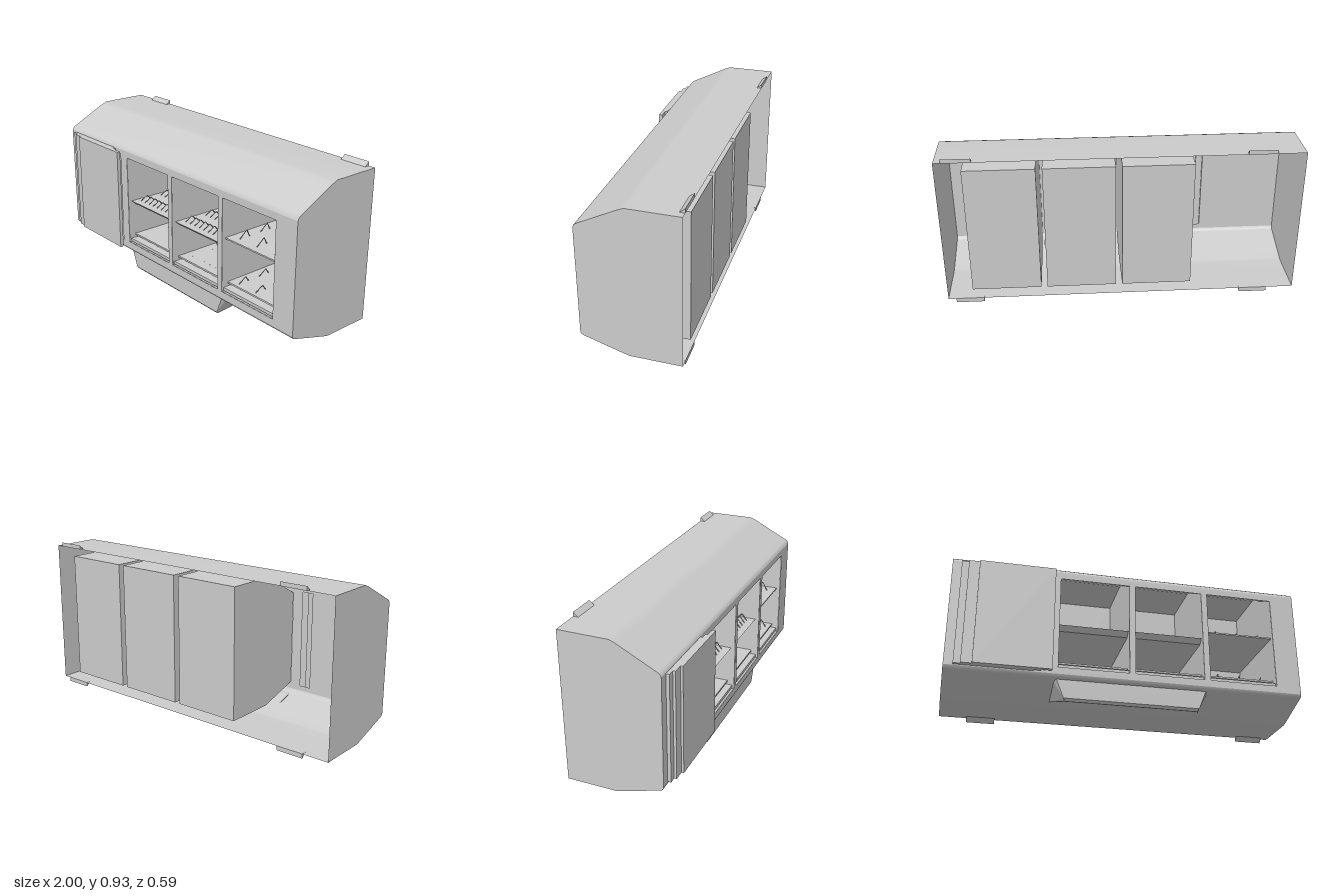
import * as THREE from 'three';
import { ConvexGeometry } from 'three/addons/geometries/ConvexGeometry.js';

const solid = new THREE.MeshStandardMaterial({ color: 0xcccccc });
const thin = new THREE.MeshStandardMaterial({ color: 0xcccccc, side: THREE.DoubleSide });

function add(parent, name, geometry, material = solid) {
  const mesh = new THREE.Mesh(geometry, material);
  mesh.name = name;
  parent.add(mesh);
  return mesh;
}

function block(parent, name, [x0, x1], [y0, y1], [z0, z1]) {
  const mesh = add(parent, name, new THREE.BoxGeometry(x1 - x0, y1 - y0, z1 - z0));
  mesh.position.set((x0 + x1) / 2, (y0 + y1) / 2, (z0 + z1) / 2);
  return mesh;
}

// Side profile of [z, y] points as a shape facing +x
const sideShape = (pts) => new THREE.Shape(pts.map(([z, y]) => new THREE.Vector2(-z, y)));
const sideCap = (pts, x) => new THREE.ShapeGeometry(sideShape(pts)).rotateY(Math.PI / 2).translate(x, 0, 0);
const prism = (pts, x0, x1) =>
  new THREE.ExtrudeGeometry(sideShape(pts), { depth: x1 - x0, bevelEnabled: false })
    .rotateY(Math.PI / 2).translate(x0, 0, 0);

// Sheet swept along x through a [z, y] profile running from back to front
function sheet(pts, x0, x1, smooth) {
  const pos = [], index = [];
  pts.forEach(([z, y], i) => {
    pos.push(x0, y, z, x1, y, z);
    if (i) {
      const a = 2 * i - 2;
      index.push(a, a + 2, a + 1, a + 1, a + 2, a + 3);
    }
  });
  let g = new THREE.BufferGeometry();
  g.setAttribute('position', new THREE.Float32BufferAttribute(pos, 3));
  g.setIndex(index);
  if (!smooth) g = g.toNonIndexed();
  g.computeVertexNormals();
  return g;
}

// Thin rod between two points
function rod(parent, a, b) {
  const dir = b.clone().sub(a);
  const mesh = add(parent, 'dividerRod', new THREE.CylinderGeometry(0.003, 0.003, dir.length(), 4));
  mesh.position.copy(a).add(b).multiplyScalar(0.5);
  mesh.quaternion.setFromUnitVectors(new THREE.Vector3(0, 1, 0), dir.normalize());
}

// Rows of leaning inverted-V dividers on a shelf
function dividers(parent, x0, x1, y, count, height) {
  for (let i = 0; i < count; i++) {
    const x = x0 + ((x1 - x0) * (i + 0.5)) / count;
    for (const z of [0.15, 0, -0.15]) {
      const top = new THREE.Vector3(x + 0.014, y + height, z);
      for (const s of [-1, 1]) rod(parent, new THREE.Vector3(x, y, z + s * 0.035), top);
    }
  }
}

export function createModel() {
  const model = new THREE.Group();
  model.name = 'wallCabinet';

  // Outer hull, open at the back
  const top = [[-0.295, 0.907], [-0.012, 0.907], [0.02, 0.894], [0.235, 0.785], [0.247, 0.776], [0.253, 0.762]];
  const bottom = [[0.253, 0.14], [0.247, 0.127], [0.235, 0.121], [0.01, 0.052], [-0.015, 0.046], [-0.295, 0.046]];
  add(model, 'roof', sheet(top, -1, 1, true), thin);
  add(model, 'underside', sheet(bottom, -1, 1, true), thin);
  for (const x of [-1, 1]) add(model, 'endPanel', sideCap([...top, ...bottom], x), thin);

  // Front panel with a doorway and three compartment openings
  const bays = [[-0.395, 0.0], [0.035, 0.43], [0.465, 0.857]];
  const rect = (p, x0, x1, y0, y1) =>
    p.moveTo(x0, y0).lineTo(x1, y0).lineTo(x1, y1).lineTo(x0, y1).closePath();
  const front = rect(new THREE.Shape(), -1, 1, 0.14, 0.762);
  front.holes.push(rect(new THREE.Path(), -0.93, -0.46, 0.17, 0.735));
  for (const [x0, x1] of bays) front.holes.push(rect(new THREE.Path(), x0, x1, 0.18, 0.722));
  add(model, 'frontPanel', new THREE.ShapeGeometry(front).translate(0, 0, 0.253), thin);

  // Staggered sliding doors
  [[-0.95, 0.25], [-0.912, 0.264], [-0.853, 0.277]].forEach(([x, z]) =>
    block(model, 'slidingDoor', [x, x + 0.423], [0.145, 0.758], [z, z + 0.021]));

  // Compartments: deep bins narrowing to the front openings
  const binProfile = [[0.252, 0.722], [0, 0.857], [-0.293, 0.857], [-0.293, 0.105], [0, 0.105], [0.252, 0.18]];
  bays.forEach(([x0, x1], i) => {
    const bay = new THREE.Group();
    bay.name = 'compartment';
    model.add(bay);
    add(bay, 'binWall', sheet(binProfile, x0, x1, false), thin);
    for (const x of [x0, x1]) add(bay, 'binSide', sideCap(binProfile, x), thin);
    const xs = [x0 + 0.002, x1 - 0.002];
    block(bay, 'floorPlate', xs, [0.182, 0.2], [-0.29, 0.24]);
    block(bay, 'floorRack', xs, [0.216, 0.226], [-0.29, 0.21]);
    if (i < 2) {
      // Shelf with an undercut front edge, and a stepped tray below it
      add(bay, 'shelf', prism([[-0.29, 0.445], [0.23, 0.445], [0.2, 0.418], [-0.29, 0.418]], ...xs));
      add(bay, 'tray', prism(
        [[-0.22, 0.226], [-0.06, 0.226], [-0.05, 0.27], [-0.01, 0.308], [-0.22, 0.308]], x0 + 0.03, x1 - 0.022));
      dividers(bay, x0 + 0.02, x1 - 0.02, 0.445, 9, 0.032);
      dividers(bay, x0 + 0.02, x1 - 0.02, 0.19, 7, 0.035);
    } else {
      block(bay, 'shelf', xs, [0.484, 0.492], [-0.29, 0.23]);
      dividers(bay, x0, x1, 0.492, 3, 0.048);
      dividers(bay, x0, x1, 0.226, 3, 0.04);
      dividers(bay, x0, x1, 0.19, 3, 0.03);
    }
  });

  // Tapered housing under the front
  const keel = [];
  for (const s of [-1, 1]) {
    for (const [x, y, z] of [[0.37, 0, 0.215], [0.378, 0.014, 0.228], [0.42, 0.12, 0.228],
      [0.435, 0.12, 0.2], [0.43, 0.06, 0.03]]) keel.push(new THREE.Vector3(0.02 + s * x, y, z));
  }
  add(model, 'lowerHousing', new ConvexGeometry(keel));

  // Wedge mounting clips along the back edges
  for (const x of [-0.84, 0.8]) {
    add(model, 'upperClip', prism([[-0.265, 0.906], [-0.295, 0.93], [-0.295, 0.906]], x, x + 0.16));
    add(model, 'lowerClip', prism([[-0.265, 0.047], [-0.295, 0.047], [-0.295, 0.021]], x - 0.005, x + 0.155));
  }
  return model;
}
